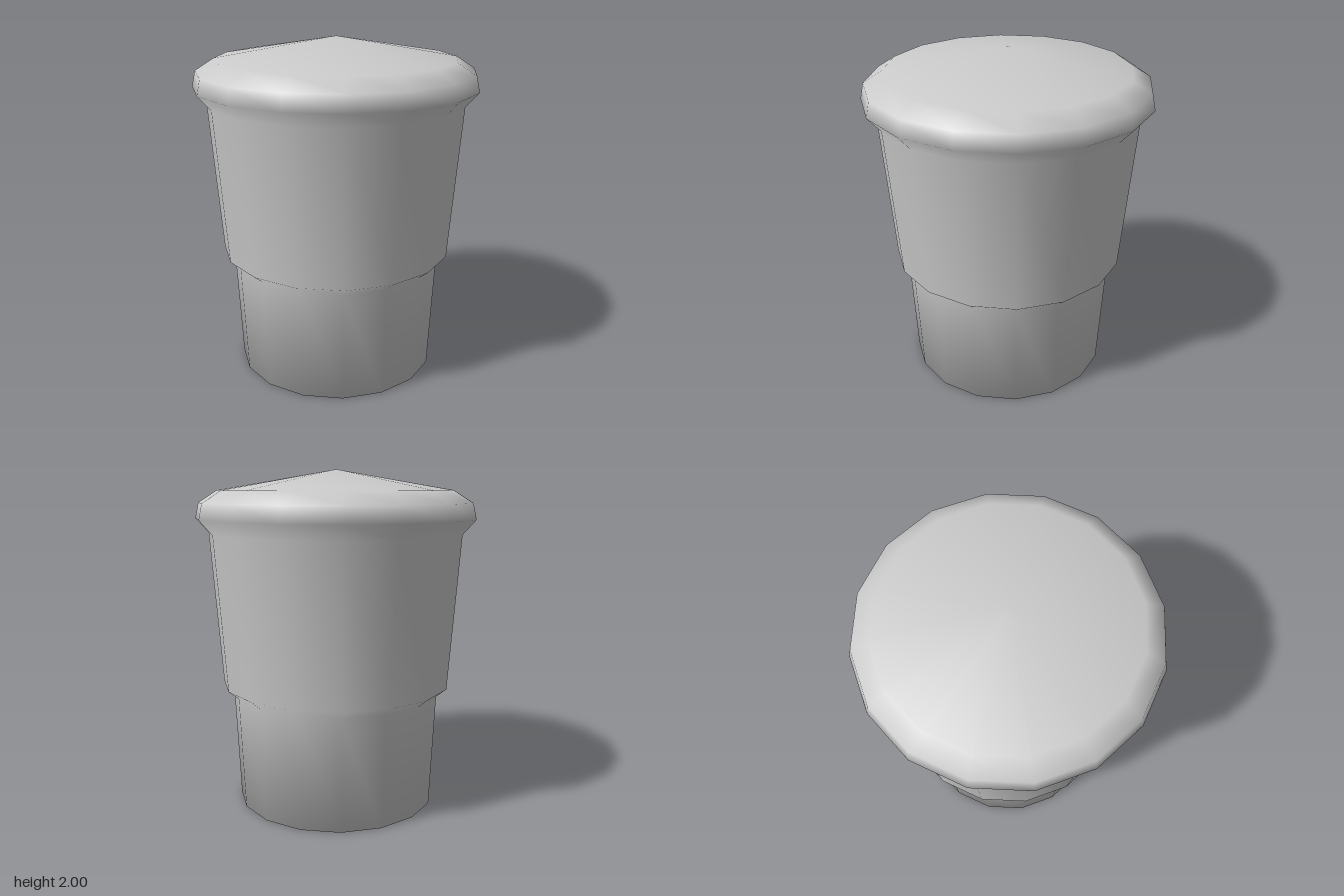
import * as THREE from 'three';
import { mergeVertices } from 'three/addons/utils/BufferGeometryUtils.js';

const SIDES = 16;

// Outline from the centre of the base to the tip of the lid: [radius, height]
const PROFILE = [
  [0, 0], [0.6, 0],           // flat base
  [0.63, 0.68], [0.69, 0.73], // narrow foot and step
  [0.755, 1.635],             // flared upper wall
  [0.83, 1.72], [0.81, 1.81], [0.7, 1.88], // rounded rim
  [0, 2],                     // shallow conical lid
];

// Revolve the outline, then weld it so that shading runs smoothly over every edge
function smoothLathe(profile, sides) {
  const points = profile.map(([r, y]) => new THREE.Vector2(r, y));
  const lathe = new THREE.LatheGeometry(points, sides);
  lathe.deleteAttribute('normal');
  lathe.deleteAttribute('uv');
  const welded = mergeVertices(lathe, 1e-4);
  welded.computeVertexNormals();
  return welded;
}

export function createModel() {
  const group = new THREE.Group();
  group.name = 'liddedCup';
  const material = new THREE.MeshStandardMaterial({ color: 0xcccccc });
  const body = new THREE.Mesh(smoothLathe(PROFILE, SIDES), material);
  body.name = 'cupBodyWithLid';
  group.add(body);
  return group;
}
